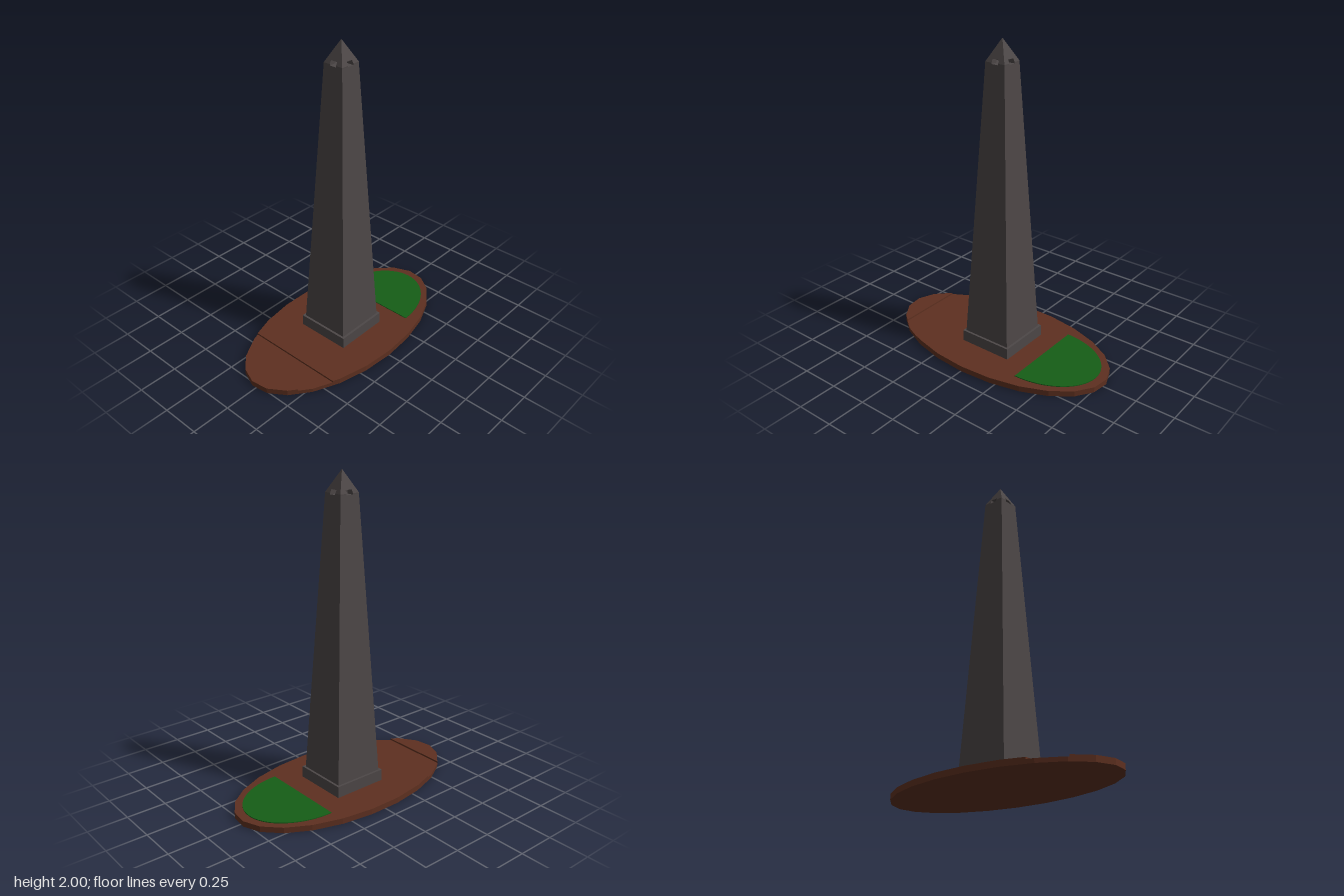
import * as THREE from 'three';
import { ConvexGeometry } from 'three/addons/geometries/ConvexGeometry.js';

const mat = (color) => new THREE.MeshStandardMaterial({ color, flatShading: true });

// Keep the part of a convex outline where side * (z - limit) >= 0
function clip(points, limit, side) {
  const out = [];
  points.forEach((a, i) => {
    const b = points[(i + 1) % points.length];
    const da = side * (a.y - limit), db = side * (b.y - limit);
    if (da >= 0) out.push(a);
    if (da * db < 0) out.push(a.clone().lerp(b, da / (da - db)));
  });
  return out;
}

// Slab standing on y0 from an outline given as (x, z)
function slab(points, y0, y1) {
  const shape = new THREE.Shape(points.map((p) => new THREE.Vector2(p.x, -p.y)));
  const geo = new THREE.ExtrudeGeometry(shape, { depth: y1 - y0, bevelEnabled: false });
  return geo.rotateX(-Math.PI / 2).translate(0, y0, 0);
}

// Square block tapering between two half widths
function taper(y0, half0, y1, half1) {
  const geo = new THREE.CylinderGeometry(half1 * Math.SQRT2, half0 * Math.SQRT2, y1 - y0, 4);
  return geo.rotateY(Math.PI / 4).translate(0, (y0 + y1) / 2, 0);
}

export function createModel() {
  const group = new THREE.Group();
  const stone = mat(0x4d4747), earth = mat(0x5e3020), grass = mat(0x165e17);
  const add = (name, geo, material) => {
    const mesh = new THREE.Mesh(geo, material);
    mesh.name = name;
    group.add(mesh);
    return mesh;
  };

  // Oval ground with a shallow sunken path across the front
  const oval = [];
  for (let i = 0; i < 23; i++) {
    const a = (i / 23) * Math.PI * 2;
    oval.push(new THREE.Vector2(0.413 * Math.cos(a), 0.777 * Math.sin(a)));
  }
  const strip = (z0, z1) => clip(clip(oval, z0, 1), z1, -1);
  add('ground', slab(strip(-1, 0.447), 0, 0.036), earth);
  add('sunkenPath', slab(strip(0.447, 0.64), 0, 0.025), earth);
  add('groundFront', slab(strip(0.64, 1), 0, 0.036), earth);

  // Half-oval lawn at the back
  const lawn = [];
  for (let i = 0; i <= 32; i++) {
    const a = Math.PI + (i / 32) * Math.PI;
    lawn.push(new THREE.Vector2(0.289 * Math.cos(a), -0.323 + 0.395 * Math.sin(a)));
  }
  add('lawn', slab(lawn.reverse(), 0.03, 0.041), grass);

  // Plinth and shaft up to the window sills
  const sill = 1.86, shoulder = 1.868, lintel = 1.888, top = 2;
  const shoulderHalf = 0.069, windowHalf = 0.023;
  const lintelHalf = shoulderHalf * (top - lintel) / (top - shoulder);
  add('plinth', taper(0.03, 0.18, 0.11, 0.18), stone);
  add('shaft', taper(0.11, 0.165, sill, shoulderHalf), stone);

  // Four corner piers leave crossing window openings between them
  for (const sx of [-1, 1]) for (const sz of [-1, 1]) {
    const points = [];
    for (const [y, half] of [[sill, shoulderHalf], [shoulder, shoulderHalf], [lintel, lintelHalf]])
      for (const x of [windowHalf, half]) for (const z of [windowHalf, half])
        points.push(new THREE.Vector3(sx * x, y, sz * z));
    add('windowPier', new ConvexGeometry(points), stone);
  }

  // Pointed cap
  const cap = new THREE.ConeGeometry(lintelHalf * Math.SQRT2, top - lintel, 4);
  add('cap', cap.rotateY(Math.PI / 4).translate(0, (top + lintel) / 2, 0), stone);

  group.position.set(-0.002, 0, -0.002);
  return group;
}
